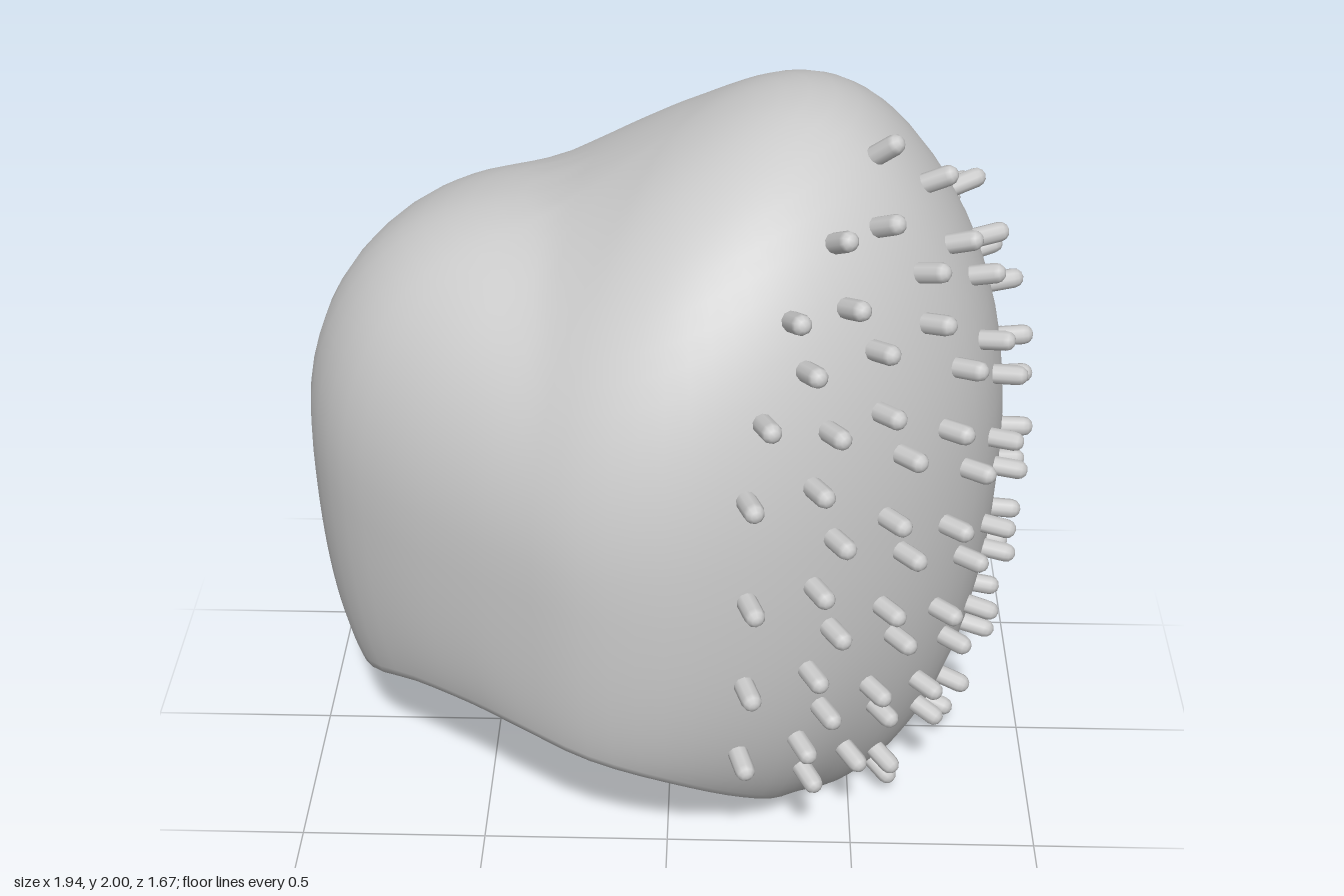
import * as THREE from 'three';

// Outline every 15 degrees of azimuth (0 = +x, 90 = +z): [waist radius, rim radius, rim height]
const OUTLINE = [
  [0.88, 0.60, 0.01], [0.85, 0.58, 0.00], [0.81, 0.54, 0.02], [0.78, 0.51, 0.06],
  [0.77, 0.56, 0.14], [0.775, 0.62, 0.25], [0.79, 0.70, 0.38], [0.79, 0.74, 0.46],
  [0.77, 0.73, 0.49], [0.785, 0.73, 0.48], [0.84, 0.78, 0.45], [0.92, 0.85, 0.36],
  [0.97, 0.87, 0.26], [0.965, 0.82, 0.23], [0.945, 0.78, 0.22], [0.91, 0.80, 0.30],
  [0.895, 0.82, 0.41], [0.865, 0.84, 0.54], [0.83, 0.84, 0.66], [0.80, 0.81, 0.77],
  [0.82, 0.79, 0.83], [0.87, 0.80, 0.74], [0.90, 0.77, 0.35], [0.90, 0.67, 0.07],
];
const outline = new THREE.CatmullRomCurve3(
  OUTLINE.map((p) => new THREE.Vector3(...p)), true, 'catmullrom', 0.5);

const WAIST = 1.0;
const SPLIT = 0.55; // share of the meridian above the waist

// Crown height: low lobe on -x, saddle, high lobe on +x, a little higher at the front
function crown(x, z) {
  const rise = 0.4 * THREE.MathUtils.smoothstep(x, -0.42, 0.6);
  const lobe = 0.27 * Math.max(0, -0.3 - x);
  return 1.73 + rise + lobe + 0.06 * (z + Math.sqrt(z * z + 0.02));
}

// Outer surface: u runs from the crown (0) through the waist to the rim (1)
function surface(deg, u) {
  const o = outline.getPoint((((deg % 360) + 360) % 360) / 360);
  const a = THREE.MathUtils.degToRad(deg);
  let r, y;
  if (u <= SPLIT) {
    const v = (u / SPLIT) * Math.PI / 2;
    r = o.x * Math.sin(v);
    const lift = Math.pow(Math.max(0, Math.cos(v)), 0.93);
    y = WAIST + (crown(r * Math.cos(a), r * Math.sin(a)) - WAIST) * lift;
  } else {
    const t = (u - SPLIT) / (1 - SPLIT), s = 1 - t;
    const bend = WAIST - 0.7 * (WAIST - o.z);
    r = o.x * (s * s + 2 * s * t) + o.y * t * t;
    y = WAIST * s * s + 2 * s * t * bend + o.z * t * t;
  }
  return new THREE.Vector3(r * Math.cos(a), y, r * Math.sin(a));
}

// Closed shell: outer rows down to the rim, then inner rows back up, thicker toward the crown
function makeShell(material) {
  const rows = 36, cols = 72, total = rows * 2 + 2;
  const pos = [], index = [];
  for (let i = 0; i < total; i++) {
    const outside = i <= rows;
    const u = (outside ? i : total - 1 - i) / rows;
    const scale = outside ? 1 : 0.91 + 0.04 * u;
    for (let j = 0; j < cols; j++) {
      const p = surface(j * 360 / cols, u);
      pos.push(p.x * scale, WAIST + (p.y - WAIST) * scale, p.z * scale);
    }
  }
  const id = (i, j) => i * cols + (i === 0 || i === total - 1 ? 0 : j % cols);
  for (let i = 0; i < total - 1; i++) {
    for (let j = 0; j < cols; j++) {
      const a = id(i, j), b = id(i + 1, j), c = id(i, j + 1), d = id(i + 1, j + 1);
      if (i > 0) index.push(a, c, b);
      if (i < total - 2) index.push(c, d, b);
    }
  }
  const g = new THREE.BufferGeometry();
  g.setAttribute('position', new THREE.Float32BufferAttribute(pos, 3));
  g.setIndex(index);
  g.computeVertexNormals();
  const mesh = new THREE.Mesh(g, material);
  mesh.name = 'shell';
  return mesh;
}

// Staggered stud rows: [height, azimuths]
const A = [75, 62, 42, 30, 9, -4, -22];
const B = [58, 46, 24, 13, -8, -20];
const STUD_ROWS = [
  [0.09, [24]], [0.2, [31, 9]], [0.33, B], [0.48, A], [0.585, B], [0.735, A], [0.855, B],
  [1.0, A], [1.125, B], [1.28, A], [1.41, B], [1.56, [61, 45, 30, 9, -6, -26]],
  [1.67, [62, 49, 27, 13, -12]], [1.8, [46, 33, 8]], [1.91, [18]],
  [1.46, [71, -32]], [1.22, [-32]], [0.96, [-32]], [0.69, [-32]],
];

function makeStuds(material) {
  const studs = new THREE.Group();
  studs.name = 'studs';
  const geometry = new THREE.CapsuleGeometry(0.026, 0.07, 3, 10);
  const up = new THREE.Vector3(0, 1, 0);
  for (const [y, azimuths] of STUD_ROWS) {
    for (const deg of azimuths) {
      // find the meridian position at this height
      let lo = 0.12, hi = 1;
      for (let k = 0; k < 24; k++) {
        const mid = (lo + hi) / 2;
        if (surface(deg, mid).y > y) lo = mid; else hi = mid;
      }
      const u = Math.min(lo, 0.97);
      const p = surface(deg, u);
      const down = surface(deg, u + 0.01).sub(surface(deg, u - 0.01));
      const around = surface(deg + 1, u).sub(surface(deg - 1, u));
      const n = around.cross(down).normalize();
      n.y *= 0.7;
      n.normalize();
      const stud = new THREE.Mesh(geometry, material);
      stud.name = 'stud';
      stud.position.copy(p).addScaledVector(n, 0.026);
      stud.quaternion.setFromUnitVectors(up, n);
      studs.add(stud);
    }
  }
  return studs;
}

export function createModel() {
  const material = new THREE.MeshStandardMaterial({ color: 0xcccccc });
  const model = new THREE.Group();
  model.name = 'studdedShell';
  model.add(makeShell(material), makeStuds(material));
  return model;
}
